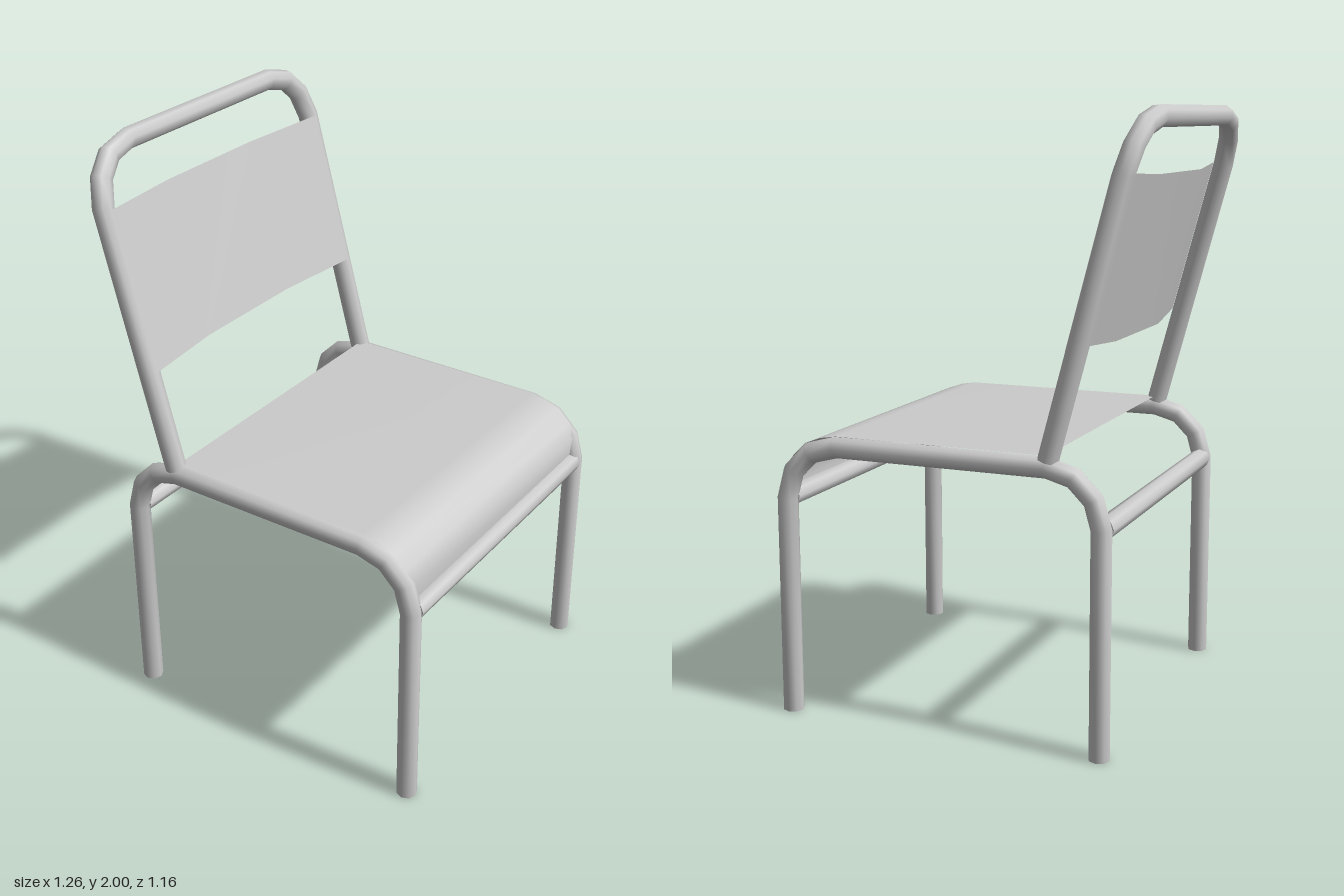
import * as THREE from 'three';
import { toCreasedNormals } from 'three/addons/utils/BufferGeometryUtils.js';

const V = (x, y, z) => new THREE.Vector3(x, y, z);
const R = 0.035, SIDES = 8, HALF = 0.545;
const metal = new THREE.MeshStandardMaterial({ color: 0xcccccc });
const sheet = new THREE.MeshStandardMaterial({ color: 0xcccccc, side: THREE.DoubleSide });

function mesh(name, geometry, material) {
  const m = new THREE.Mesh(geometry, material);
  m.name = name;
  return m;
}

function indexed(points, index) {
  const g = new THREE.BufferGeometry().setFromPoints(points);
  g.setIndex(index);
  return g;
}

// Capped round tube along a flat path with mitred bends; n is the normal of the path's plane.
function pipe(path, n) {
  const pts = [], index = [], last = path.length - 1;
  path.forEach((p, i) => {
    const a = path[Math.max(i - 1, 0)], b = path[Math.min(i + 1, last)];
    const before = (i ? p.clone().sub(a) : b.clone().sub(p)).normalize();
    const after = (i < last ? b.clone().sub(p) : before.clone()).normalize();
    const t = before.clone().add(after).normalize();
    const side = n.clone().cross(t).multiplyScalar(1 / t.dot(before));
    for (let k = 0; k < SIDES; k++) {
      const ang = (k / SIDES) * Math.PI * 2;
      pts.push(p.clone().addScaledVector(side, R * Math.cos(ang)).addScaledVector(n, R * Math.sin(ang)));
    }
  });
  for (let i = 0; i < last; i++) {
    for (let k = 0; k < SIDES; k++) {
      const a = i * SIDES + k, b = i * SIDES + (k + 1) % SIDES;
      index.push(a, b, a + SIDES, b, b + SIDES, a + SIDES);
    }
  }
  const end = last * SIDES;
  for (let k = 1; k < SIDES - 1; k++) {
    index.push(0, k + 1, k, end, end + k, end + k + 1);
  }
  return toCreasedNormals(indexed(pts, index), 1.0);
}

// Thin sheet between two matching edges.
function ruled(edgeA, edgeB) {
  const index = [], n = edgeA.length;
  for (let i = 0; i < n - 1; i++) index.push(i, n + i, i + 1, i + 1, n + i, n + i + 1);
  const g = indexed([...edgeA, ...edgeB], index);
  g.computeVertexNormals();
  return g;
}

export function createModel() {
  const chair = new THREE.Group();
  chair.name = 'chair';

  // Bent side frames: rear leg, seat rail and front leg in one tube
  const sideProfile = [
    [-0.5, 0], [-0.5, 0.735], [-0.475, 0.825], [-0.41, 0.89], [-0.32, 0.915],
    [0.41, 0.915], [0.502, 0.89], [0.567, 0.825], [0.592, 0.735], [0.592, 0],
  ];
  for (const s of [1, -1]) {
    const path = sideProfile.map(([x, y]) => V(x, y, s * HALF));
    chair.add(mesh(s > 0 ? 'leftSideFrame' : 'rightSideFrame', pipe(path, V(0, 0, 1)), metal));
  }

  // Crossbars between the legs
  for (const [name, x] of [['frontCrossbar', 0.592], ['rearCrossbar', -0.5]]) {
    chair.add(mesh(name, pipe([V(x, 0.735, -0.53), V(x, 0.735, 0.53)], V(0, 1, 0)), metal));
  }

  // Leaning back frame hoop
  const lean = 0.267;
  const onBack = (y, z) => V(-0.325 - (y - 0.935) * lean, y, z);
  const forward = V(1, lean, 0).normalize();
  const half = [[0.935, HALF], [1.8, HALF], [1.885, 0.518], [1.942, 0.46], [1.966, 0.365]];
  const hoop = [
    ...half.map(([y, z]) => onBack(y, z)),
    ...half.slice().reverse().map(([y, z]) => onBack(y, -z)),
  ];
  chair.add(mesh('backFrame', pipe(hoop, forward), metal));

  // Backrest panel, bowed towards the rear in the middle
  const bow = [[-HALF, 0.036], [-0.22, -0.014], [0.22, -0.014], [HALF, 0.036]];
  const backEdge = (y) => bow.map(([z, d]) => onBack(y, z).addScaledVector(forward, d));
  chair.add(mesh('backrest', ruled(backEdge(1.268), backEdge(1.794)), sheet));

  // Seat panel rolling down over the front bend
  const seatProfile = [
    [-0.32, 0.951], [0.41, 0.951], [0.465, 0.942], [0.522, 0.921],
    [0.568, 0.877], [0.594, 0.83], [0.592, 0.765],
  ];
  const seatEdge = (z) => seatProfile.map(([x, y]) => V(x, y, z));
  chair.add(mesh('seat', ruled(seatEdge(-HALF), seatEdge(HALF)), sheet));

  return chair;
}
